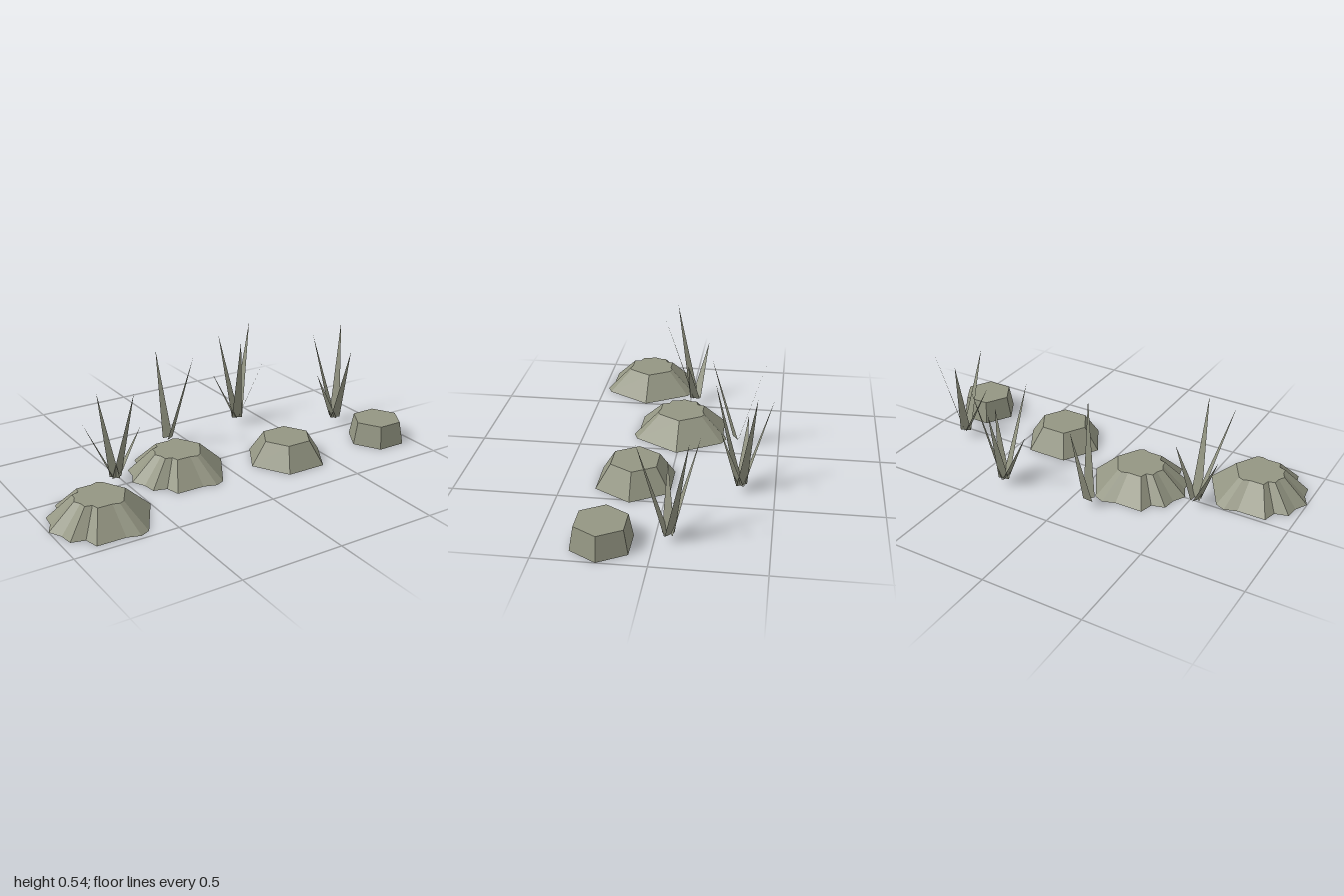
import * as THREE from 'three';

const stone = new THREE.MeshStandardMaterial({ color: 0x949683, flatShading: true, side: THREE.DoubleSide });
stone.name = 'mossy grey';

function mesh(name, positions) {
  const g = new THREE.BufferGeometry();
  g.setAttribute('position', new THREE.Float32BufferAttribute(positions, 3));
  g.computeVertexNormals();
  const m = new THREE.Mesh(g, stone);
  m.name = name;
  return m;
}

// Outlines as [degrees, relative radius]
const hexagon = [0, 60, 120, 180, 240, 300].map(a => [a, 1]);
const half = [[60, 1], [72, 1], [86, 0.87], [120, 1], [134, 0.82], [148, 0.98], [164, 0.9]];
const scalloped = [[0, 1], ...half, [180, 1], ...half.map(([a, r]) => [360 - a, r]).reverse()];

// Flat-topped mound, open underneath
function rock(name, outline, x, z, bottomR, topR, h) {
  const ring = (R, y) => outline.map(([a, r]) => {
    const t = THREE.MathUtils.degToRad(a);
    return [Math.cos(t) * r * R, y, Math.sin(t) * r * R];
  });
  const low = ring(bottomR, 0), high = ring(topR, h), p = [];
  for (let i = 0; i < outline.length; i++) {
    const j = (i + 1) % outline.length;
    p.push(...low[i], ...high[i], ...low[j]);
    p.push(...low[j], ...high[i], ...high[j]);
    p.push(0, h, 0, ...high[j], ...high[i]);
  }
  const m = mesh(name, p);
  m.position.set(x, 0, z);
  return m;
}

// Tuft of flat pointed blades, each leaning from the centre to its tip
function tuft(name, x, z, tips) {
  const group = new THREE.Group();
  group.name = name;
  const baseY = 0.035, halfWidth = 0.027, offset = 0.01;
  for (const [tx, ty, tz] of tips) {
    const d = new THREE.Vector2(tx - x, tz - z).normalize();
    const cx = x + d.x * offset, cz = z + d.y * offset;
    const wx = -d.y * halfWidth, wz = d.x * halfWidth;
    group.add(mesh('grassBlade', [
      cx + wx, baseY, cz + wz,
      cx - wx, baseY, cz - wz,
      tx, ty, tz,
    ]));
  }
  return group;
}

export function createModel() {
  const model = new THREE.Group();
  model.name = 'rocksAndGrass';

  // Row of rocks
  model.add(
    rock('scallopedRockOuter', scalloped, -0.75, 0.24, 0.25, 0.125, 0.115),
    rock('scallopedRockInner', scalloped, -0.22, 0.005, 0.25, 0.125, 0.115),
    rock('hexagonalRock', hexagon, 0.317, 0.16, 0.203, 0.125, 0.115),
    rock('smallRock', hexagon, 0.853, 0.22, 0.147, 0.125, 0.115),
  );

  // Grass tufts behind the rocks
  model.add(
    tuft('grassTuftFarRight', -0.54, -0.03, [
      [-0.51, 0.505, 0.13], [-0.67, 0.52, 0.08], [-0.67, 0.31, -0.09], [-0.41, 0.28, -0.005]]),
    tuft('grassTuftRight', -0.105, -0.29, [
      [-0.093, 0.47, -0.43], [-0.027, 0.495, -0.165]]),
    tuft('grassTuftLeft', 0.35, -0.34, [
      [0.32, 0.465, -0.48], [0.47, 0.535, -0.41], [0.453, 0.355, -0.25],
      [0.287, 0.515, -0.21], [0.2, 0.32, -0.36]]),
    tuft('grassTuftFarLeft', 0.80, -0.06, [
      [0.735, 0.475, -0.19], [0.898, 0.53, -0.16], [0.775, 0.45, 0.08], [0.655, 0.31, -0.04]]),
  );
  return model;
}
